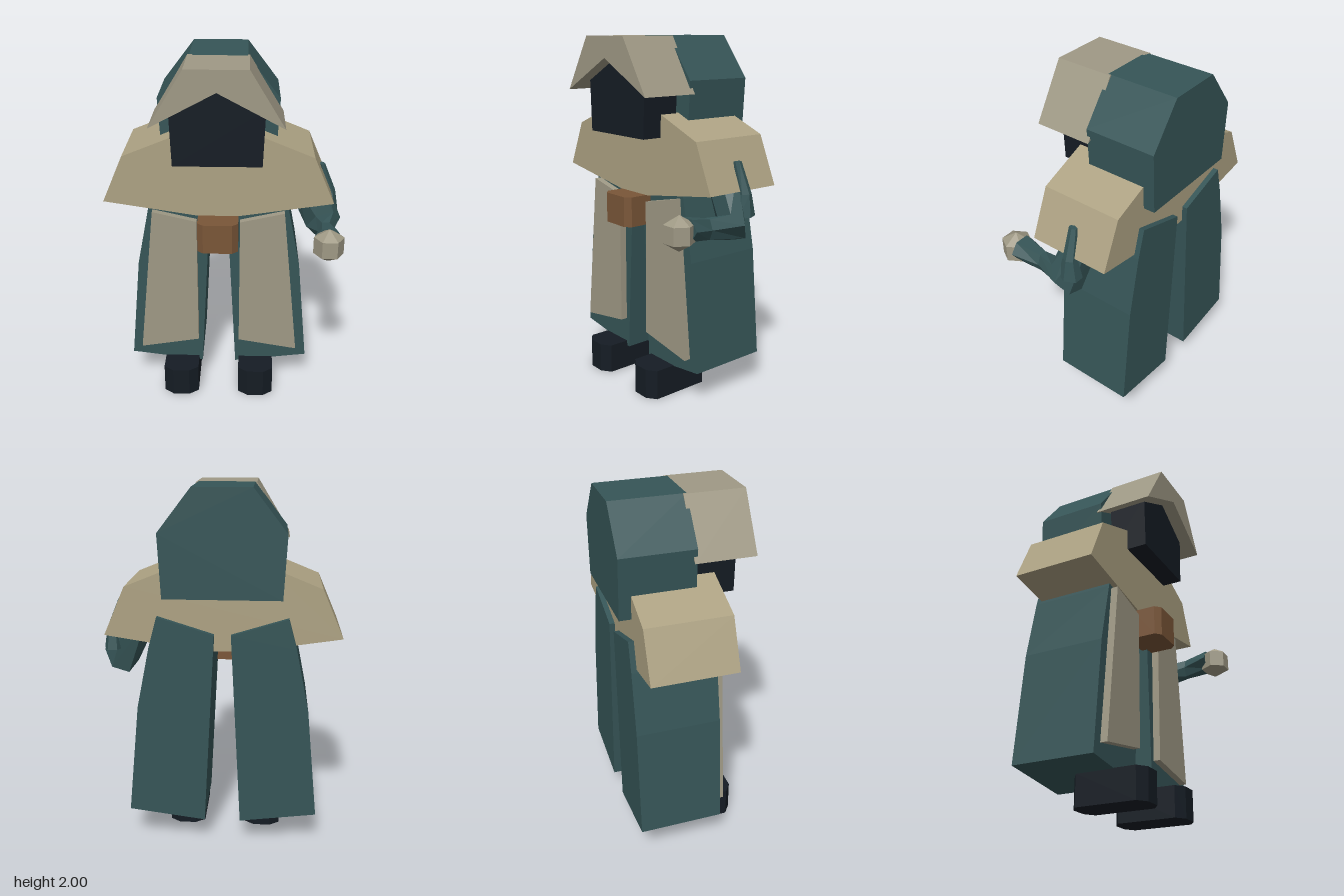
import * as THREE from 'three';

const material = (color) => new THREE.MeshStandardMaterial({ color, flatShading: true });
const V = (x, y, z) => new THREE.Vector3(x, y, z);

function addMesh(parent, name, geometry, mat) {
  const mesh = new THREE.Mesh(geometry, mat);
  mesh.name = name;
  parent.add(mesh);
  return mesh;
}

// Front outline [x, y] given depth from z0 to z1
function slab(points, z0, z1) {
  const shape = new THREE.Shape(points.map(([x, y]) => new THREE.Vector2(x, y)));
  return new THREE.ExtrudeGeometry(shape, { depth: z1 - z0, bevelEnabled: false }).translate(0, 0, z0);
}

// Right half of an outline, top to bottom, completed by its mirror image
const mirrored = (half) => [...half, ...half.map(([x, y]) => [-x, y]).reverse().filter(([x]) => x !== 0)];

// Upright box with chamfered vertical corners
function chamferedBlock(width, height, depth, cx, cz) {
  const w = width / 2, d = depth / 2;
  const shape = new THREE.Shape([
    [w - cx, -d], [w, -d + cz], [w, d - cz], [w - cx, d],
    [-w + cx, d], [-w, d - cz], [-w, -d + cz], [-w + cx, -d],
  ].map(([x, y]) => new THREE.Vector2(x, y)));
  return new THREE.ExtrudeGeometry(shape, { depth: height, bevelEnabled: false }).rotateX(-Math.PI / 2);
}

// Closed tube through rings, each with a centre c and two half axes u, v
function loft(rings, sides) {
  const positions = [];
  const tri = (...corners) => corners.forEach((p) => positions.push(p.x, p.y, p.z));
  const at = (ring, i) => {
    const a = (i / sides) * Math.PI * 2;
    return ring.c.clone().addScaledVector(ring.u, Math.cos(a)).addScaledVector(ring.v, Math.sin(a));
  };
  const last = rings[rings.length - 1];
  for (let i = 0; i < sides; i++) {
    for (let r = 0; r < rings.length - 1; r++) {
      const a = at(rings[r], i), b = at(rings[r], i + 1);
      const c = at(rings[r + 1], i + 1), d = at(rings[r + 1], i);
      tri(a, b, c);
      tri(a, c, d);
    }
    tri(rings[0].c, at(rings[0], i + 1), at(rings[0], i));
    tri(last.c, at(last, i), at(last, i + 1));
  }
  const geometry = new THREE.BufferGeometry();
  geometry.setAttribute('position', new THREE.Float32BufferAttribute(positions, 3));
  geometry.computeVertexNormals();
  return geometry;
}

export function createModel() {
  const model = new THREE.Group();
  model.name = 'hoodedFigure';
  const teal = material(0x365557);
  const cream = material(0xada283);
  const trim = material(0x9f9985);
  const dark = material(0x151c24);
  const leather = material(0x7a5638);

  // Body, symmetric about its own centre line
  const body = new THREE.Group();
  body.name = 'body';
  body.position.x = -0.035;
  model.add(body);

  // Hood, its peaked brim and the shadowed face
  addMesh(body, 'hood', slab(mirrored([[0.155, 2], [0.333, 1.77], [0.315, 1.43]]), -0.39, 0.02), teal);
  addMesh(body, 'hoodBrim', slab(mirrored([[0.165, 2], [0.35, 1.7], [0, 1.885]]), 0, 0.335), trim);
  addMesh(body, 'face', slab(mirrored([[0.165, 1.92], [0.25, 1.78], [0.238, 1.47]]), 0.04, 0.26), dark);

  // Shoulder cape
  addMesh(body, 'cape', slab(mirrored([[0.24, 1.595], [0.523, 1.48], [0.638, 1.215], [0.12, 1.135]]), -0.325, 0.145), cream);

  // Split robe, front panels and shoes
  for (const [side, s] of [['left', 1], ['right', -1]]) {
    const flip = (points) => points.map(([x, y]) => [x * s, y]);
    addMesh(body, side + 'Robe', slab(flip([
      [0.045, 1.23], [0.35, 1.325], [0.395, 1.16], [0.465, 0.815], [0.525, 0.195], [0.1, 0.14],
    ]), -0.355, 0.115), teal);
    addMesh(body, side + 'Panel', slab(flip([
      [0.122, 1.1], [0.37, 1.157], [0.463, 0.262], [0.12, 0.32],
    ]), 0.1, 0.155), trim);
    addMesh(body, side + 'Shoe', chamferedBlock(0.205, 0.172, 0.42, 0.055, 0.04), dark)
      .position.set(0.222 * s, 0, 0.065);
  }

  // Belt pouch
  addMesh(body, 'pouch', chamferedBlock(0.225, 0.17, 0.195, 0.032, 0.03), leather)
    .position.set(0, 0.965, 0.178);

  // Bent left arm with flared cuff
  addMesh(model, 'leftSleeve', loft([
    { c: V(0.46, 1.26, -0.085), u: V(0.095, 0.05, 0), v: V(0, 0, 0.085) },
    { c: V(0.57, 1.02, -0.04), u: V(0.098, 0.03, 0), v: V(0, 0.085, 0.066) },
    { c: V(0.565, 1.04, 0.13), u: V(0.042, 0, 0), v: V(0, 0.062, 0) },
    { c: V(0.57, 1.065, 0.278), u: V(0.082, 0, 0), v: V(0, 0.066, 0) },
  ], 6), teal);

  // Thin upright point at the elbow
  addMesh(model, 'sleevePoint', loft([
    { c: V(0.6, 1.08, -0.095), u: V(0.055, 0, 0), v: V(0, 0, -0.07) },
    { c: V(0.6, 1.2, -0.1), u: V(0.035, 0, 0), v: V(0, 0, -0.04) },
    { c: V(0.552, 1.365, -0.09), u: V(0.015, 0, 0), v: V(0, 0, -0.026) },
  ], 6), teal);

  // Faceted hand
  addMesh(model, 'leftHand', new THREE.SphereGeometry(0.095, 6, 3), trim).position.set(0.567, 1.05, 0.32);

  return model;
}
